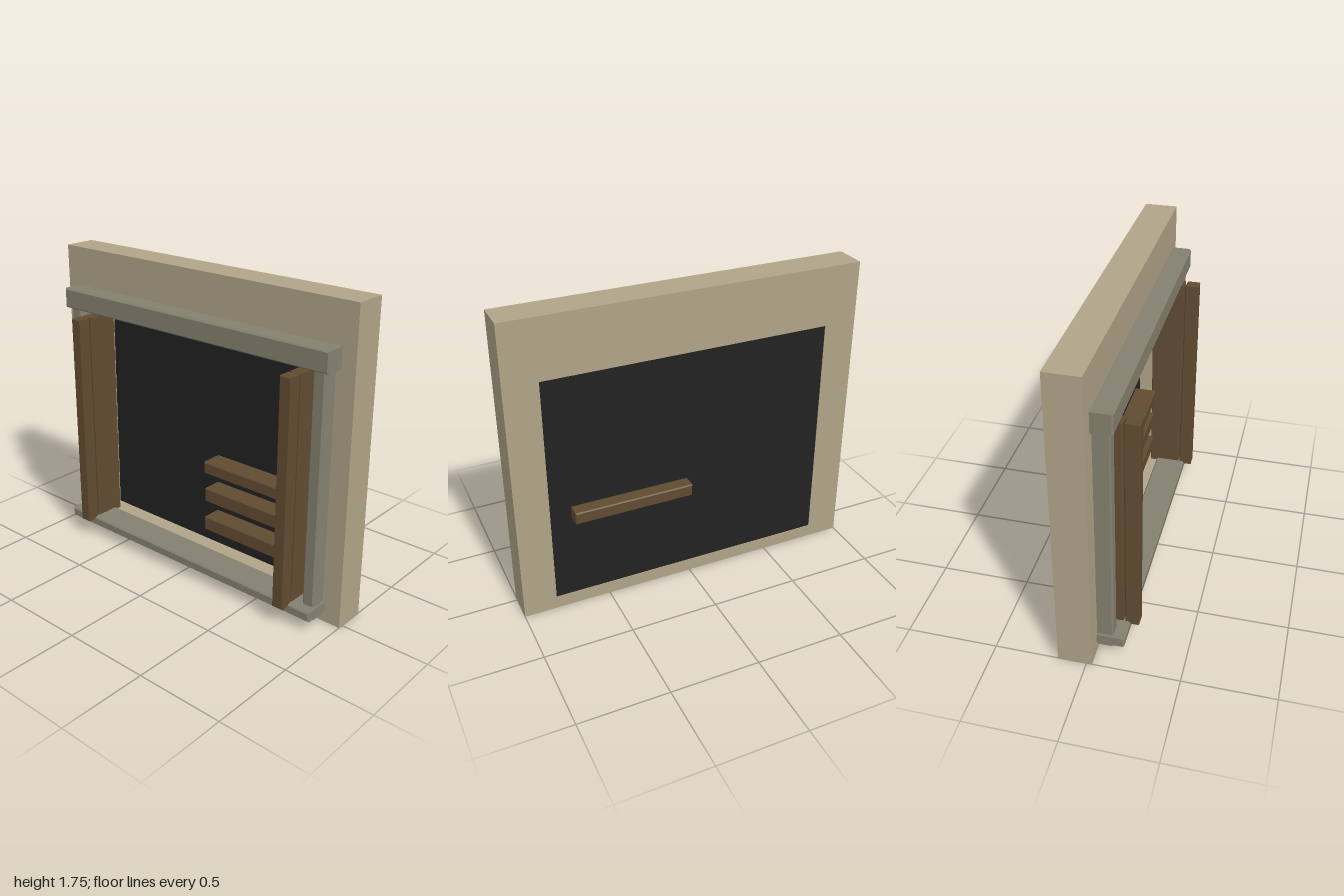
import * as THREE from 'three';

const mat = (name, color) => {
  const m = new THREE.MeshStandardMaterial({ color });
  m.name = name;
  return m;
};

export function createModel() {
  const plaster = mat('plaster', 0xb0a488);
  const stone = mat('stone', 0x858170);
  const wood = mat('wood', 0x614b31);
  const dark = mat('dark', 0x222222);
  const group = new THREE.Group();

  const add = (name, geometry, material) => {
    const mesh = new THREE.Mesh(geometry, material);
    mesh.name = name;
    group.add(mesh);
    return mesh;
  };

  const rect = (target, x0, x1, y0, y1) => {
    target.moveTo(x0, y0);
    target.lineTo(x1, y0);
    target.lineTo(x1, y1);
    target.lineTo(x0, y1);
    target.closePath();
    return target;
  };

  // Box between two corners with narrow chamfered edges
  const beam = (name, [x0, x1], [y0, y1], [z0, z1], material, b = 0.008) => {
    const shape = rect(new THREE.Shape(), x0 + b, x1 - b, y0 + b, y1 - b);
    const geometry = new THREE.ExtrudeGeometry(shape, {
      depth: z1 - z0 - 2 * b, bevelEnabled: true,
      bevelSize: b, bevelThickness: b, bevelSegments: 1,
    });
    geometry.translate(0, 0, z0 + b);
    return add(name, geometry, material);
  };

  // Wall with a rectangular opening
  const wall = rect(new THREE.Shape(), -1, 1, 0, 1.75);
  wall.holes.push(rect(new THREE.Path(), -0.813, 0.813, 0.075, 1.41));
  const wallGeometry = new THREE.ExtrudeGeometry(wall, { depth: 0.185, bevelEnabled: false });
  wallGeometry.translate(0, 0, -0.155);
  add('wall', wallGeometry, plaster);

  // Dark panel closing the opening
  const panel = new THREE.BoxGeometry(1.626, 1.335, 0.009);
  panel.translate(0, 0.7425, -0.147);
  add('darkPanel', panel, dark);

  // Stone surround
  beam('lintel', [-0.92, 0.92], [1.41, 1.525], [0, 0.14], stone);
  beam('sill', [-0.905, 0.905], [0.065, 0.12], [0, 0.18], stone);

  // Stone jambs and wooden posts on both sides
  for (const [side, s] of [['left', 1], ['right', -1]]) {
    const span = (a, b) => (s > 0 ? [a, b] : [-b, -a]);
    beam(side + 'Jamb', span(0.82, 0.89), [0.04, 1.42], [0, 0.118], stone);
    beam(side + 'InnerPost', span(0.705, 0.772), [0.105, 1.385], [-0.04, 0.144], wood, 0.004);
    beam(side + 'FrontPost', span(0.705, 0.772), [0.105, 1.385], [0.152, 0.228], wood, 0.004);
  }

  // Short horizontal slats; the top one passes through the panel
  beam('topSlat', [0.018, 0.695], [0.575, 0.645], [-0.228, -0.015], wood, 0.006);
  beam('middleSlat', [0.018, 0.7], [0.395, 0.475], [-0.146, -0.025], wood, 0.004);
  beam('lowerSlat', [0.018, 0.7], [0.212, 0.292], [-0.146, -0.025], wood, 0.004);

  return group;
}
